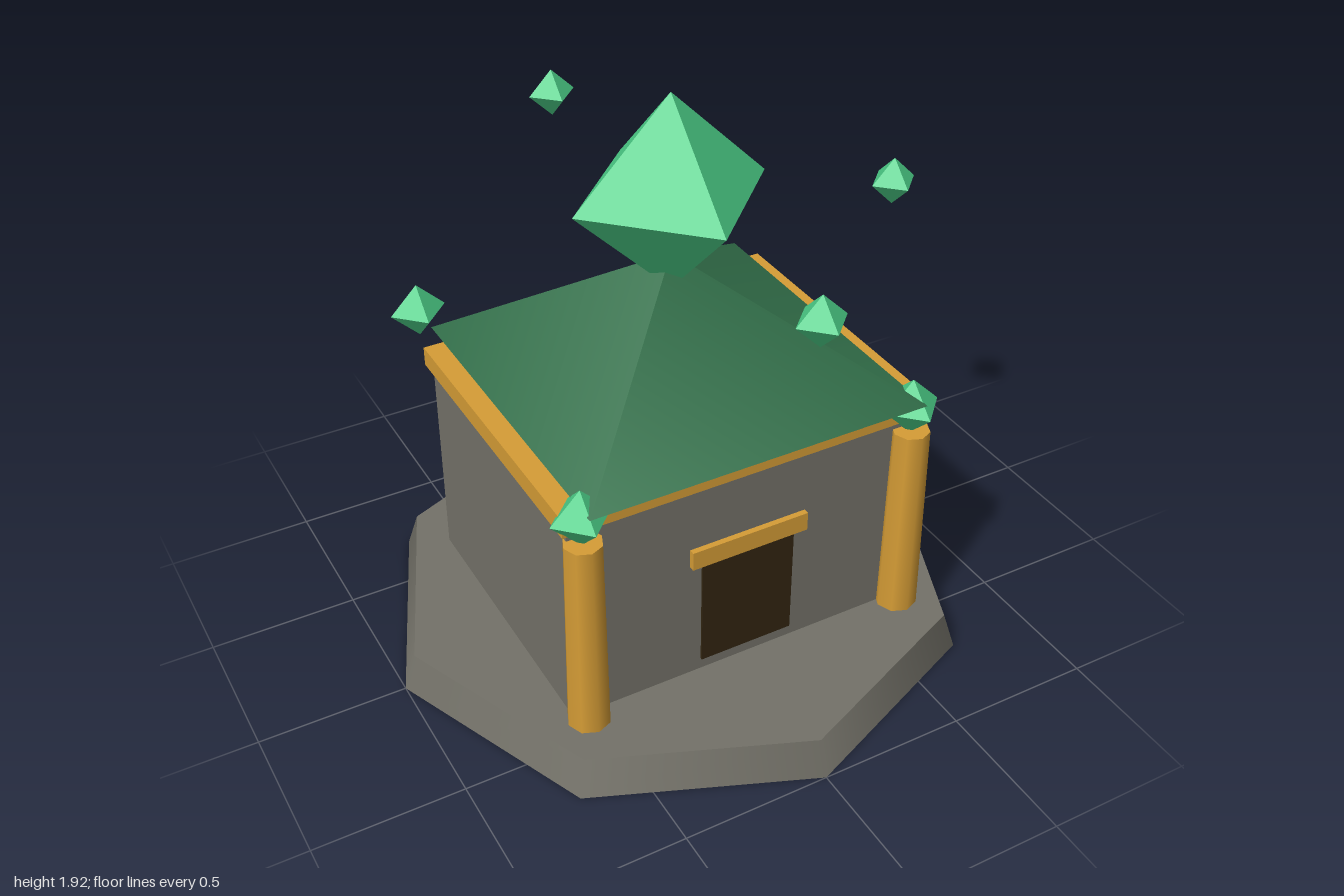
import * as THREE from 'three';

const mat = (name, color) => {
  const m = new THREE.MeshStandardMaterial({ color });
  m.name = name;
  return m;
};

export function createModel() {
  const group = new THREE.Group();
  const stone = mat('stone', 0x747269);
  const gold = mat('gold', 0xd69d36);
  const darkWood = mat('dark wood', 0x322511);
  const roofGreen = mat('roof green', 0x33714b);
  const crystalGreen = mat('crystal green', 0x4ccf88);

  const add = (name, geometry, material, x, y, z) => {
    const mesh = new THREE.Mesh(geometry, material);
    mesh.name = name;
    mesh.position.set(x, y, z);
    group.add(mesh);
    return mesh;
  };
  const box = (w, h, d) => new THREE.BoxGeometry(w, h, d);
  const crystal = (name, r, x, y, z) =>
    add(name, new THREE.OctahedronGeometry(r), crystalGreen, x, y, z);

  // Eight-sided platform, walls and the trim under the roof
  add('platform', new THREE.CylinderGeometry(0.958, 1, 0.125, 8), stone, 0, 0.0625, 0);
  add('walls', box(1.25, 0.75, 1), stone, 0, 0.5, 0);
  add('trim', box(1.292, 0.067, 1.042), gold, 0, 0.9, 0);

  // Pyramid roof floating just above the trim
  const roof = add('roof', new THREE.ConeGeometry(0.833, 0.417, 4), roofGreen, 0, 1.1667, 0);
  roof.rotation.y = Math.PI / 4;

  // Doorway and lintel on the front wall
  add('door', box(0.333, 0.4, 0.03), darkWood, 0, 0.367, 0.493);
  add('lintel', box(0.417, 0.067, 0.05), gold, 0, 0.6, 0.495);

  // Front pillars with their crystals, and the side floating crystals
  for (const side of [-1, 1]) {
    add('pillar', new THREE.CylinderGeometry(0.0625, 0.071, 0.708, 8), gold, side * 0.583, 0.479, 0.525);
    crystal('pillarCrystal', 0.1, side * 0.583, 0.917, 0.517);
    crystal('sideCrystal', 0.083, side * 0.833, 1.417, 0);
    crystal(side > 0 ? 'frontCrystal' : 'backCrystal', 0.083, 0, 1.583, side * 0.833);
  }

  // Large crystal on the roof peak
  crystal('mainCrystal', 0.333, 0, 1.583, 0);

  return group;
}
